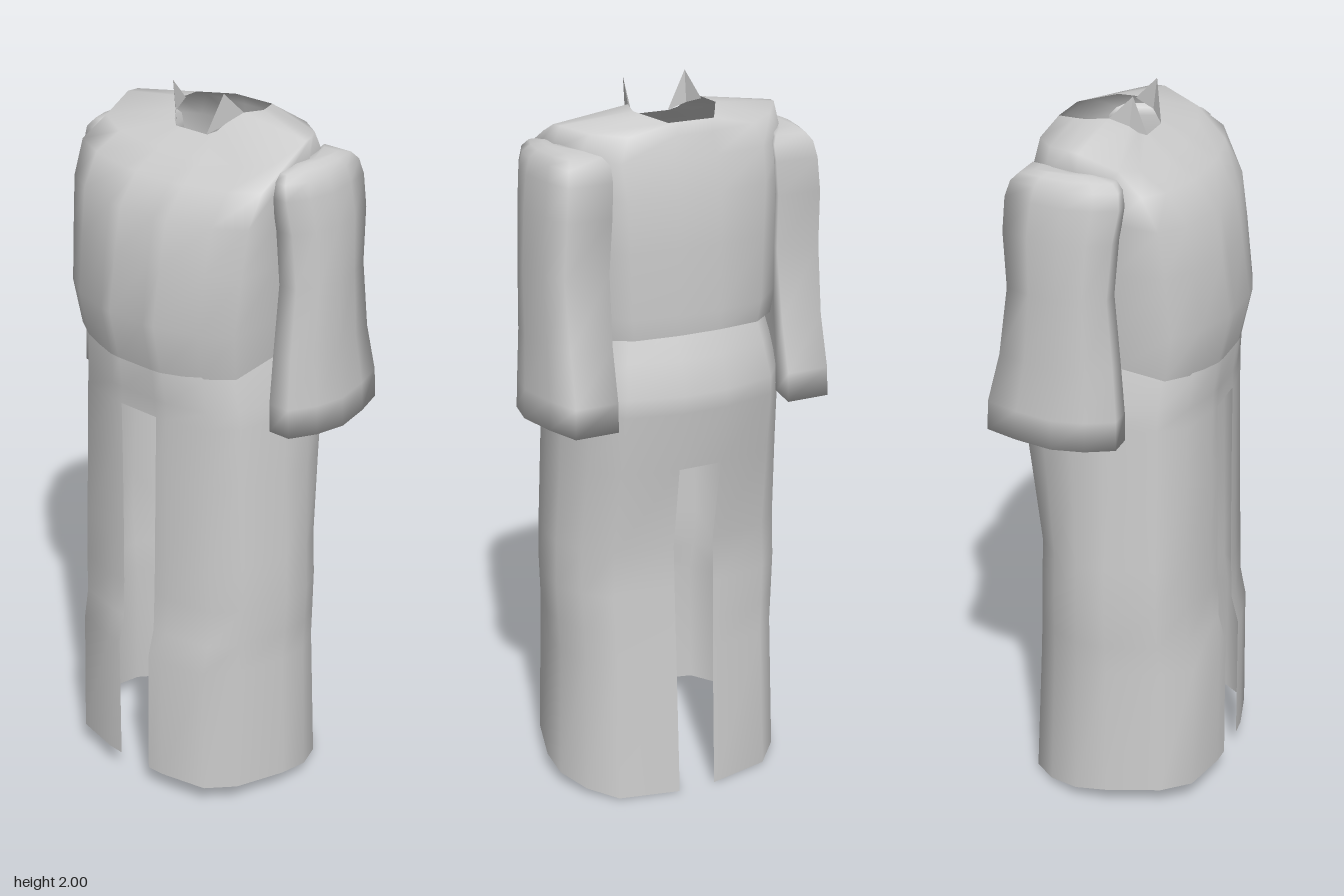
import * as THREE from 'three';

// Half cross-sections from front to back: share of half width, share of depth
const SKIRT = [[0, 1], [0.31, 0.99], [0.7, 0.88], [0.87, 0.62], [0.99, 0.1], [0.99, -0.25], [0.87, -0.6], [0.67, -0.88], [0, -1]];
const TORSO = [[0, 1], [0.32, 0.99], [0.72, 0.86], [0.99, 0.68], [1, 0.2], [1, -0.2], [0.91, -0.63], [0.63, -0.93], [0, -1]];

// Full ring, counter-clockwise from above, from a half ring with x > 0
function mirrorRing(half) {
  return [...half, ...half.map(([x, y, z]) => [-x, y, z]).reverse()];
}

// Ring from side, front and back heights, front and back depth, half width and seam offset
function bodyRing(section, [ys, yf, yb, f, b, w, seam = 0.06]) {
  return mirrorRing(section.map(([u, v]) => [
    u === 0 ? seam : u * w,
    ys + (v > 0 ? yf - ys : yb - ys) * Math.abs(v),
    v > 0 ? f * v : -b * v,
  ]));
}

// Join closed rings into a skin; skip(row, column) leaves an opening
function loft(rings, skip = () => false) {
  const n = rings[0].length, index = [];
  for (let j = 0; j < rings.length - 1; j++) {
    for (let i = 0; i < n; i++) {
      if (skip(j, i)) continue;
      const k = (i + 1) % n, a = j * n + i, b = j * n + k;
      index.push(a, b, b + n, a, b + n, a + n);
    }
  }
  const geo = new THREE.BufferGeometry();
  geo.setAttribute('position', new THREE.Float32BufferAttribute(rings.flat(2), 3));
  geo.setIndex(index);
  geo.computeVertexNormals();
  return geo;
}

function facets(points) {
  const geo = new THREE.BufferGeometry();
  geo.setAttribute('position', new THREE.Float32BufferAttribute(points.flat(), 3));
  geo.computeVertexNormals();
  return geo;
}

export function createModel() {
  const group = new THREE.Group();
  const cloth = new THREE.MeshStandardMaterial({ color: 0xcccccc, side: THREE.DoubleSide });
  cloth.name = 'grey cloth';
  const add = (name, geo) => {
    const mesh = new THREE.Mesh(geo, cloth);
    mesh.name = name;
    group.add(mesh);
  };

  // Long skirt, slit at the front (up to 1.16) and at the back (up to 0.99)
  const skirt = [
    [0.045, 0.06, 0, 0.287, -0.255, 0.342, 0.055],
    [0.42, 0.43, 0.42, 0.285, -0.235, 0.332, 0.057],
    [0.51, 0.51, 0.51, 0.264, -0.231, 0.337, 0.058],
    [0.62, 0.62, 0.62, 0.26, -0.227, 0.342, 0.059],
    [0.75, 0.75, 0.75, 0.257, -0.222, 0.339, 0.06],
    [0.99, 0.99, 0.99, 0.254, -0.26, 0.328, 0.062],
    [1.16, 1.16, 1.16, 0.252, -0.288, 0.322, 0.065],
    [1.21, 1.21, 1.21, 0.253, -0.292, 0.317],
    [1.3, 1.3, 1.3, 0.262, -0.265, 0.3],
    [1.38, 1.38, 1.38, 0.25, -0.235, 0.28],
  ];
  const last = SKIRT.length * 2 - 1, back = SKIRT.length - 1;
  add('skirt', loft(skirt.map((row) => bodyRing(SKIRT, row)), (j, i) => (i === last && j < 6) || (i === back && j < 5)));

  // Bloused top, closing in to the open neck
  const torso = [
    [1.34, 1.3, 1.365, 0.265, -0.25, 0.288],
    [1.44, 1.44, 1.42, 0.295, -0.256, 0.3],
    [1.6, 1.6, 1.6, 0.272, -0.255, 0.308],
    [1.74, 1.72, 1.74, 0.25, -0.252, 0.316],
    [1.85, 1.8, 1.83, 0.19, -0.225, 0.324],
  ].map((row) => bodyRing(TORSO, row));
  // Shoulder rim follows the slope down to the chest
  torso.push(mirrorRing([
    [0.05, 1.85, 0.11], [0.1, 1.85, 0.11], [0.22, 1.85, 0.09], [0.3, 1.87, 0.06], [0.317, 1.91, -0.04],
    [0.31, 1.912, -0.07], [0.26, 1.9, -0.14], [0.18, 1.895, -0.2], [0.05, 1.89, -0.215],
  ]));
  torso.push(mirrorRing([
    [0.03, 1.89, 0.045], [0.055, 1.89, 0.045], [0.075, 1.9, 0.03], [0.09, 1.92, 0.01], [0.105, 1.94, -0.04],
    [0.119, 1.936, -0.1], [0.1, 1.93, -0.135], [0.065, 1.92, -0.195], [0.04, 1.92, -0.195],
  ]));
  add('torso', loft(torso));

  // Sleeve rows, closed at both ends: height, inner x, outer x, front z, back z, inner x at the back
  const sleeve = [
    [1.14, 0.35, 0.35, -0.1, -0.1, 0.35],
    [1.14, 0.28, 0.432, 0.08, -0.285, 0.252],
    [1.22, 0.28, 0.428, 0.08, -0.283, 0.252],
    [1.36, 0.285, 0.42, 0.07, -0.247, 0.25],
    [1.55, 0.29, 0.42, 0.055, -0.22, 0.245],
    [1.7, 0.29, 0.412, 0.068, -0.23, 0.24],
    [1.79, 0.29, 0.4, 0.084, -0.225, 0.235],
    [1.832, 0.29, 0.388, 0.08, -0.212, 0.235],
    [1.852, 0.295, 0.366, 0.06, -0.192, 0.25],
    [1.862, 0.31, 0.345, 0, -0.15, 0.285],
    [1.862, 0.328, 0.328, -0.06, -0.06, 0.328],
  ];
  for (const side of [1, -1]) {
    const label = side > 0 ? 'left' : 'right';
    const rings = sleeve.map(([y, a, b, f, k, inner]) => {
      const at = (u, v, from = a) => [side * (from + (b - from) * u), y, k + (f - k) * v];
      const ring = [at(0.22, 1), at(0.66, 1), at(0.9, 0.8), at(1, 0.56), at(0.84, 0.26), at(0.62, 0),
        at(0, 0, inner), at(0, 0.25, (a + inner) / 2), at(0, 0.55), at(0.05, 0.85)];
      return side > 0 ? ring : ring.reverse();
    });
    add(label + 'Sleeve', loft(rings));

    // Pointed collar tip
    const tip = [side * 0.09, 2, 0.02], front = [side * 0.053, 1.89, 0.045];
    const mid = [side * 0.09, 1.915, 0.01], rear = [side * 0.106, 1.935, -0.045];
    add(label + 'CollarTip', facets(side > 0 ? [front, mid, tip, mid, rear, tip] : [mid, front, tip, rear, mid, tip]));

    // Small tab on the upper chest
    const p = [side * 0.218, 1.865, 0.042], q = [side * 0.255, 1.86, 0.047], r = [side * 0.235, 1.885, 0.022];
    add(label + 'ChestTab', facets(side > 0 ? [p, q, r] : [q, p, r]));
  }
  return group;
}
